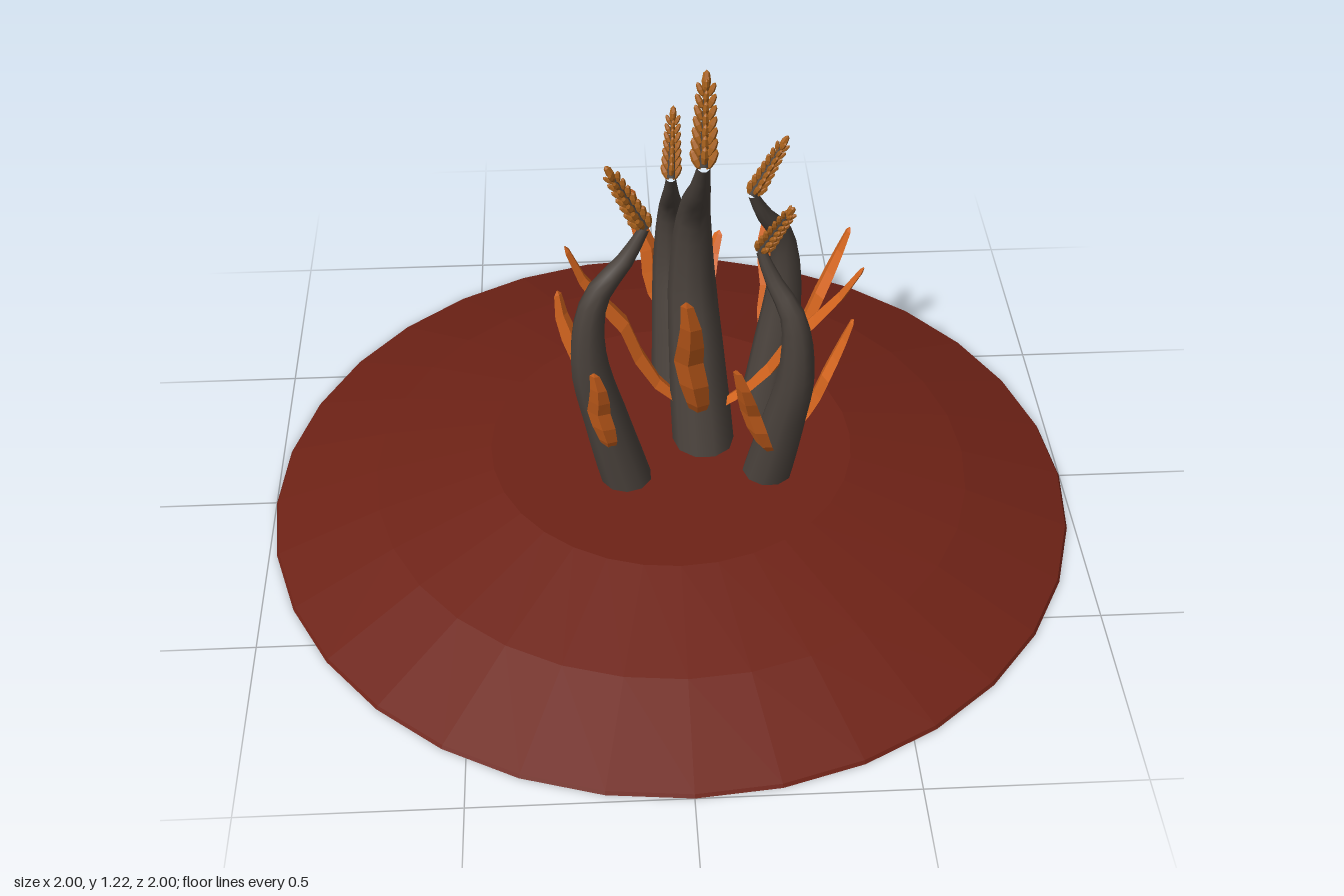
import * as THREE from 'three';
import { mergeGeometries } from 'three/addons/utils/BufferGeometryUtils.js';

const V = (p) => new THREE.Vector3(...p);
const UP = new THREE.Vector3(0, 1, 0);
const { lerp } = THREE.MathUtils;
const mat = (color, flatShading) => new THREE.MeshStandardMaterial({ color, flatShading });

function addMesh(parent, name, geometry, material) {
  const mesh = new THREE.Mesh(geometry, material);
  mesh.name = name;
  parent.add(mesh);
}

// Point between a and b with separate blends for the ground plane and for height
const between = (a, b, out, up) => new THREE.Vector3(lerp(a.x, b.x, out), lerp(a.y, b.y, up), lerp(a.z, b.z, out));

// Stem path: leans out to a bulge, then hooks back in to the neck
function stemCurve([x, z], bulgeAt, neckAt) {
  const base = new THREE.Vector3(x, 0.1, z), bulge = V(bulgeAt), neck = V(neckAt);
  return new THREE.CatmullRomCurve3([
    base, between(base, bulge, 0.6, 0.55), bulge,
    between(bulge, neck, 0.14, 0.5), between(bulge, neck, 0.68, 0.78), neck]);
}

// Tapered round stem: a unit tube pulled in towards its centre line
function stemGeometry(curve, radius) {
  const taper = [1, 0.95, 0.86, 0.76, 0.6, 0.4, 0.19];
  const rows = 18, sides = 10;
  const geo = new THREE.TubeGeometry(curve, rows, 1, sides);
  const pos = geo.attributes.position;
  const v = new THREE.Vector3();
  for (let i = 0; i < pos.count; i++) {
    const t = Math.floor(i / (sides + 1)) / rows;
    const c = curve.getPointAt(t);
    const k = t * (taper.length - 1);
    const a = Math.min(Math.floor(k), taper.length - 2);
    v.fromBufferAttribute(pos, i).sub(c).multiplyScalar(radius * lerp(taper[a], taper[a + 1], k - a)).add(c);
    pos.setXYZ(i, v.x, v.y, v.z);
  }
  return geo;
}

// Leaf blade: a flat diamond section swept along a gently waving path
function leafGeometry(a, b, width) {
  const side = new THREE.Vector3(b.z - a.z, 0, a.x - b.x).normalize();
  const path = [[0, 0, 0], [0.3, 0.2, 0.1], [0.52, 0.5, -0.12], [0.8, 0.74, 0.1], [1, 1, 0]].map(
    ([out, up, sway]) => between(a, b, out, up).addScaledVector(side, sway * width));
  const curve = new THREE.CatmullRomCurve3(path);
  const rings = [[0, 0.55], [0.16, 0.8], [0.33, 1], [0.5, 1], [0.66, 0.9], [0.82, 0.7], [0.97, 0.42], [1, 0.05]];
  const verts = [], index = [];
  rings.forEach(([t, s], i) => {
    const c = curve.getPointAt(t);
    const normal = curve.getTangentAt(t).cross(side).normalize();
    const w = (width / 2) * s;
    for (const [x, n] of [[1, 0], [0, 0.4], [-1, 0], [0, -0.4]]) {
      verts.push(...c.clone().addScaledVector(side, x * w).addScaledVector(normal, n * w).toArray());
    }
    if (i === 0) return;
    for (let j = 0; j < 4; j++) {
      const p = (i - 1) * 4 + j, q = (i - 1) * 4 + (j + 1) % 4;
      index.push(p, q, q + 4, p, q + 4, p + 4);
    }
  });
  const geo = new THREE.BufferGeometry();
  geo.setAttribute('position', new THREE.Float32BufferAttribute(verts, 3));
  geo.setIndex(index);
  geo.computeVertexNormals();
  return geo;
}

// Stand a geometry built along +y on point a, aimed at point b
const aim = (geo, a, b) => geo
  .applyQuaternion(new THREE.Quaternion().setFromUnitVectors(UP, b.clone().sub(a).normalize()))
  .translate(a.x, a.y, a.z);

// Ear of grain: tiers of pointed kernels splayed around an axis
function earGeometry(length) {
  const kernel = new THREE.SphereGeometry(1, 6, 4);
  kernel.scale(length * 0.05, length * 0.12, length * 0.045);
  const parts = [kernel.clone().translate(0, length * 0.9, 0)];
  const tiers = 7;
  for (let i = 0; i < tiers; i++) {
    const size = 1 - 0.3 * (i / (tiers - 1));
    for (let j = 0; j < 4; j++) {
      parts.push(kernel.clone()
        .scale(size, size, size)
        .rotateZ(-0.45)
        .translate(length * 0.085 * size, length * (0.08 + i * 0.122 + (j % 2) * 0.05), 0)
        .rotateY(j * Math.PI / 2));
    }
  }
  return mergeGeometries(parts);
}

// Leaves are [place along the stem, x, y, z of the leaf tip]
const PLANTS = [
  { name: 'tallPlant', radius: 0.078, base: [0.085, 0.01], bulge: [0.055, 0.6, -0.09], neck: [0.07, 1.02, 0.06],
    tip: [0.08, 1.22, -0.02], leaves: [[0.17, -0.25, 0.7, -0.1], [0.17, 0.45, 0.72, 0.05], [0.18, 0.02, 0.8, 0.27]] },
  { name: 'leftRearPlant', radius: 0.062, base: [0.23, -0.115], bulge: [0.29, 0.52, -0.17], neck: [0.2, 0.82, -0.12],
    tip: [0.28, 0.97, -0.135], leaves: [[0.28, 0.45, 0.66, -0.2], [0.25, 0.26, 0.62, -0.33]] },
  { name: 'leftFrontPlant', radius: 0.062, base: [0.22, 0.11], bulge: [0.285, 0.52, 0.18], neck: [0.2, 0.82, 0.11],
    tip: [0.265, 0.97, 0.16], leaves: [[0.3, 0.42, 0.63, 0.13], [0.23, 0.13, 0.65, 0.33]] },
  { name: 'rearPlant', radius: 0.062, base: [0.025, -0.215], bulge: [0.015, 0.52, -0.315], neck: [0.01, 0.82, -0.2],
    tip: [0.02, 0.97, -0.28], leaves: [[0.15, 0.15, 0.48, -0.46], [0.33, -0.08, 0.65, -0.41]] },
  { name: 'rightPlant', radius: 0.062, base: [-0.1, 0.125], bulge: [-0.2, 0.55, 0.145], neck: [-0.065, 0.89, 0.105],
    tip: [-0.15, 1.06, 0.11], leaves: [[0.28, -0.27, 0.65, 0.01], [0.24, -0.19, 0.63, 0.3]] },
];

export function createModel() {
  const model = new THREE.Group();
  const soil = mat(0x6e2216, true);
  const bark = mat(0x4b433d, false);
  const blade = mat(0xd2641e, true);
  const grain = mat(0xa8611c, true);

  // Low mound of soil
  const profile = [[0, 0], [1, 0], [0.995, 0.008], [0.74, 0.095], [0.45, 0.165], [0, 0.167]];
  addMesh(model, 'soilMound', new THREE.LatheGeometry(profile.map(([x, y]) => new THREE.Vector2(x, y)), 32), soil);

  for (const { name, radius, base, bulge, neck, tip, leaves } of PLANTS) {
    const plant = new THREE.Group();
    plant.name = name;
    model.add(plant);

    const curve = stemCurve(base, bulge, neck);
    addMesh(plant, 'stem', stemGeometry(curve, radius), bark);

    // Ear of grain on a dark core
    const from = V(neck), to = V(tip);
    const length = from.distanceTo(to);
    addMesh(plant, 'grainEar', aim(earGeometry(length), from, to), grain);
    const core = new THREE.CylinderGeometry(0.004, 0.012, length * 0.9, 8).translate(0, length * 0.45, 0);
    addMesh(plant, 'earCore', aim(core, from, to), bark);

    // Leaves root just under the skin of the stem, on the side they grow towards
    for (const [t, ...end] of leaves) {
      const leafTip = V(end);
      const root = curve.getPointAt(t);
      const out = leafTip.clone().sub(root).setY(0).normalize();
      root.addScaledVector(out, radius * 0.6);
      addMesh(plant, 'leaf', leafGeometry(root, leafTip, radius * 0.9), blade);
    }
  }
  return model;
}
